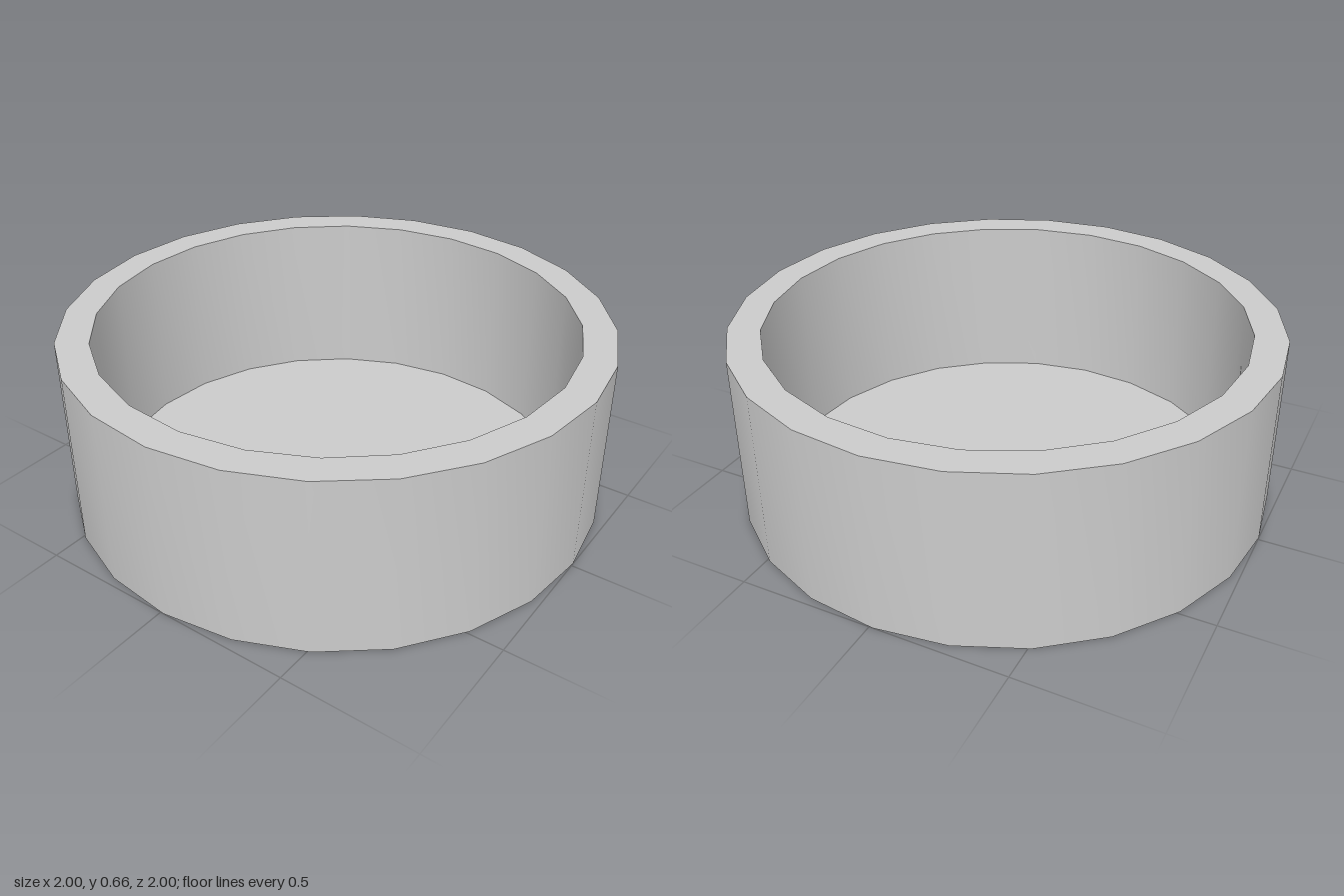
import * as THREE from 'three';
import { toCreasedNormals } from 'three/addons/utils/BufferGeometryUtils.js';

const SIDES = 24;
const HEIGHT = 0.66;
const FLOOR = 0.004;

// Corners of a regular polygon, turned by a small angle in degrees
function ringPoints(radius, turn) {
  return Array.from({ length: SIDES }, (_, i) => {
    const a = (i / SIDES) * Math.PI * 2 + THREE.MathUtils.degToRad(turn);
    return new THREE.Vector2(radius * Math.cos(a), radius * Math.sin(a));
  });
}

// Upright prism standing on y = 0, smooth round the sides, sharp at the rims
function prism(name, shape, height, material) {
  const extruded = new THREE.ExtrudeGeometry(shape, { depth: height, bevelEnabled: false });
  extruded.rotateX(-Math.PI / 2);
  const mesh = new THREE.Mesh(toCreasedNormals(extruded, Math.PI / 6), material);
  mesh.name = name;
  return mesh;
}

export function createModel() {
  const group = new THREE.Group();
  group.name = 'roundDish';
  const material = new THREE.MeshStandardMaterial({ color: 0xcccccc });
  const inner = ringPoints(0.88, 2.4);

  // Thick wall around the opening
  const wallShape = new THREE.Shape(ringPoints(1, 0.75));
  wallShape.holes.push(new THREE.Path(inner));
  group.add(prism('wall', wallShape, HEIGHT, material));

  // Thin floor closing the bottom
  group.add(prism('floor', new THREE.Shape(inner), FLOOR, material));

  return group;
}
